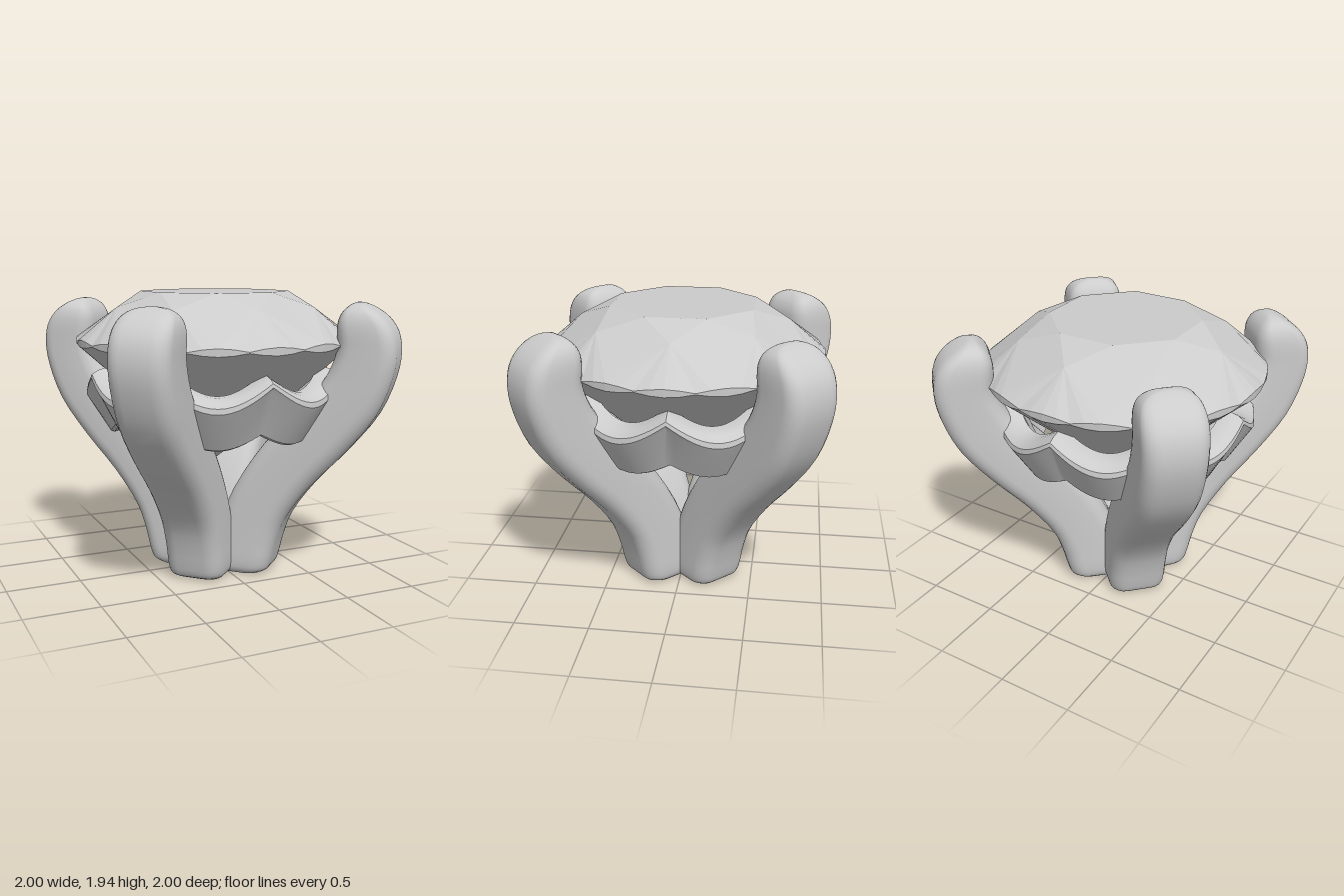
import * as THREE from 'three';
import { toCreasedNormals } from 'three/addons/utils/BufferGeometryUtils.js';

const material = new THREE.MeshStandardMaterial({ color: 0xcccccc });
const facetMaterial = new THREE.MeshStandardMaterial({ color: 0xcccccc, flatShading: true });

// Skin a stack of point loops; either wrap the stack or cap both ends.
function loft(loops, wrap, crease) {
  const n = loops[0].length, m = loops.length;
  const pos = loops.flat().flatMap((p) => [p.x, p.y, p.z]);
  const index = [];
  for (let i = 0; i < (wrap ? m : m - 1); i++) {
    for (let j = 0; j < n; j++) {
      const k = (j + 1) % n, up = ((i + 1) % m) * n;
      const a = i * n + j, b = i * n + k;
      index.push(a, up + j, b, b, up + j, up + k);
    }
  }
  if (!wrap) {
    for (let j = 1; j < n - 1; j++) {
      const t = (m - 1) * n;
      index.push(0, j, j + 1, t, t + j + 1, t + j);
    }
  }
  const g = new THREE.BufferGeometry();
  g.setAttribute('position', new THREE.Float32BufferAttribute(pos, 3));
  g.setIndex(index);
  return toCreasedNormals(g, crease);
}

// Prong: rounded-square section swept between an inner and an outer curve.
function prongGeometry() {
  // inner radius, inner y, outer radius, outer y, half width
  const stations = [
    [0.0, 0, 0.38, 0, 0.165],
    [0.0, 0.035, 0.43, 0.03, 0.19],
    [0.02, 0.1, 0.455, 0.1, 0.2],
    [0.06, 0.28, 0.485, 0.22, 0.2],
    [0.19, 0.6, 0.55, 0.4, 0.2],
    [0.4, 0.92, 0.72, 0.64, 0.2],
    [0.62, 1.16, 0.95, 0.89, 0.2],
    [0.8, 1.37, 1.15, 1.15, 0.2],
    [0.87, 1.51, 1.25, 1.4, 0.2],
    [0.89, 1.6, 1.273, 1.56, 0.2],
    [0.885, 1.69, 1.25, 1.69, 0.2],
    [0.89, 1.76, 1.19, 1.78, 0.19],
    [0.915, 1.82, 1.11, 1.84, 0.16],
    [0.96, 1.865, 1.05, 1.87, 0.1],
    [0.99, 1.88, 1.02, 1.88, 0.03],
  ];
  const inner = new THREE.CatmullRomCurve3(stations.map((s) => new THREE.Vector3(s[0], s[1], s[4])));
  const outer = new THREE.CatmullRomCurve3(stations.map((s) => new THREE.Vector3(s[2], s[3], s[4])));

  // unit rounded square
  const outline = [];
  const c = 0.52;
  for (let q = 0; q < 4; q++) {
    for (let s = 0; s <= 5; s++) {
      const a = (q + s / 5) * Math.PI / 2;
      const mid = (q + 0.5) * Math.PI / 2;
      outline.push([
        Math.sign(Math.cos(mid)) * (1 - c) + c * Math.cos(a),
        Math.sign(Math.sin(mid)) * (1 - c) + c * Math.sin(a),
      ]);
    }
  }
  const loops = [];
  const steps = (stations.length - 1) * 3;
  for (let i = 0; i <= steps; i++) {
    const p = inner.getPoint(i / steps), q = outer.getPoint(i / steps);
    loops.push(outline.map(([u, v]) => {
      const t = (u + 1) / 2;
      return new THREE.Vector3(p.x + (q.x - p.x) * t, p.y + (q.y - p.y) * t, v * q.z);
    }));
  }
  return loft(loops, false, 0.9);
}

// Gallery ring: flared band whose height dips between eight cusps.
function galleryGeometry() {
  // radius, height in the dips, rise at the cusps
  const profile = [
    [0.6, 1.0, 0.09], [0.7, 0.965, 0.09], [0.725, 0.975, 0.09],
    [0.865, 1.195, 0.16], [0.885, 1.23, 0.155], [0.88, 1.265, 0.145],
    [0.84, 1.3, 0.135], [0.79, 1.318, 0.13], [0.73, 1.32, 0.13],
  ];
  const count = 128;
  const loops = profile.map(([r, y, rise]) => Array.from({ length: count }, (_, j) => {
    const a = j / count * Math.PI * 2;
    const h = y + rise * (1 - Math.abs(Math.sin(4 * a)));
    return new THREE.Vector3(r * Math.cos(a), h, r * Math.sin(a));
  }));
  return loft(loops, true, 0.6);
}

// Round brilliant-cut gem, eight-fold.
function gemGeometry() {
  const pos = [];
  const tri = (...pts) => pts.forEach((p) => pos.push(...p));
  const at = (r, deg, y) => {
    const a = deg * Math.PI / 180;
    return [r * Math.cos(a), y, -r * Math.sin(a)];
  };
  const wave = (deg) => Math.abs(Math.cos(deg * 8 * Math.PI / 180));
  const R = 0.945;
  const table = (d) => at(0.505, d, 1.94);
  const star = (d) => at(0.703, d, 1.841);
  const top = (d) => at(R, d, 1.612 + 0.023 * wave(d));
  const bottom = (d) => at(R, d, 1.605 - 0.02 * wave(d));
  const lower = (d) => at(0.25, d, 0.965);
  const centre = [0, 1.94, 0], culet = [0, 0.765, 0];
  for (let d = 0; d < 360; d += 45) {
    const e = d + 22.5, f = d + 45;
    // table and crown
    tri(centre, table(d - 22.5), table(e));
    tri(table(d - 22.5), star(d), table(e));
    tri(table(e), star(d), top(e));
    tri(table(e), top(e), star(f));
    // pavilion mains
    tri(culet, bottom(e), lower(d));
    tri(culet, lower(f), bottom(e));
    // girdle and the facets touching it
    for (let j = 0; j < 8; j++) {
      const g = d - 22.5 + j * 5.625, h = g + 5.625;
      tri(star(d), top(g), top(h));
      tri(bottom(g), bottom(h), top(h));
      tri(bottom(g), top(h), top(g));
      tri(lower(d), bottom(h), bottom(g));
    }
  }
  const g = new THREE.BufferGeometry();
  g.setAttribute('position', new THREE.Float32BufferAttribute(pos, 3));
  g.computeVertexNormals();
  return g;
}

export function createModel() {
  const model = new THREE.Group();
  model.name = 'gemSetting';
  const add = (name, geometry, mat) => {
    const mesh = new THREE.Mesh(geometry, mat);
    mesh.name = name;
    model.add(mesh);
    return mesh;
  };

  add('gem', gemGeometry(), facetMaterial);
  add('galleryRing', galleryGeometry(), material);

  // four prongs on the diagonals
  const prong = prongGeometry();
  ['frontLeft', 'backLeft', 'backRight', 'frontRight'].forEach((name, i) => {
    add(name + 'Prong', prong, material).rotation.y = -Math.PI / 4 + i * Math.PI / 2;
  });
  return model;
}
